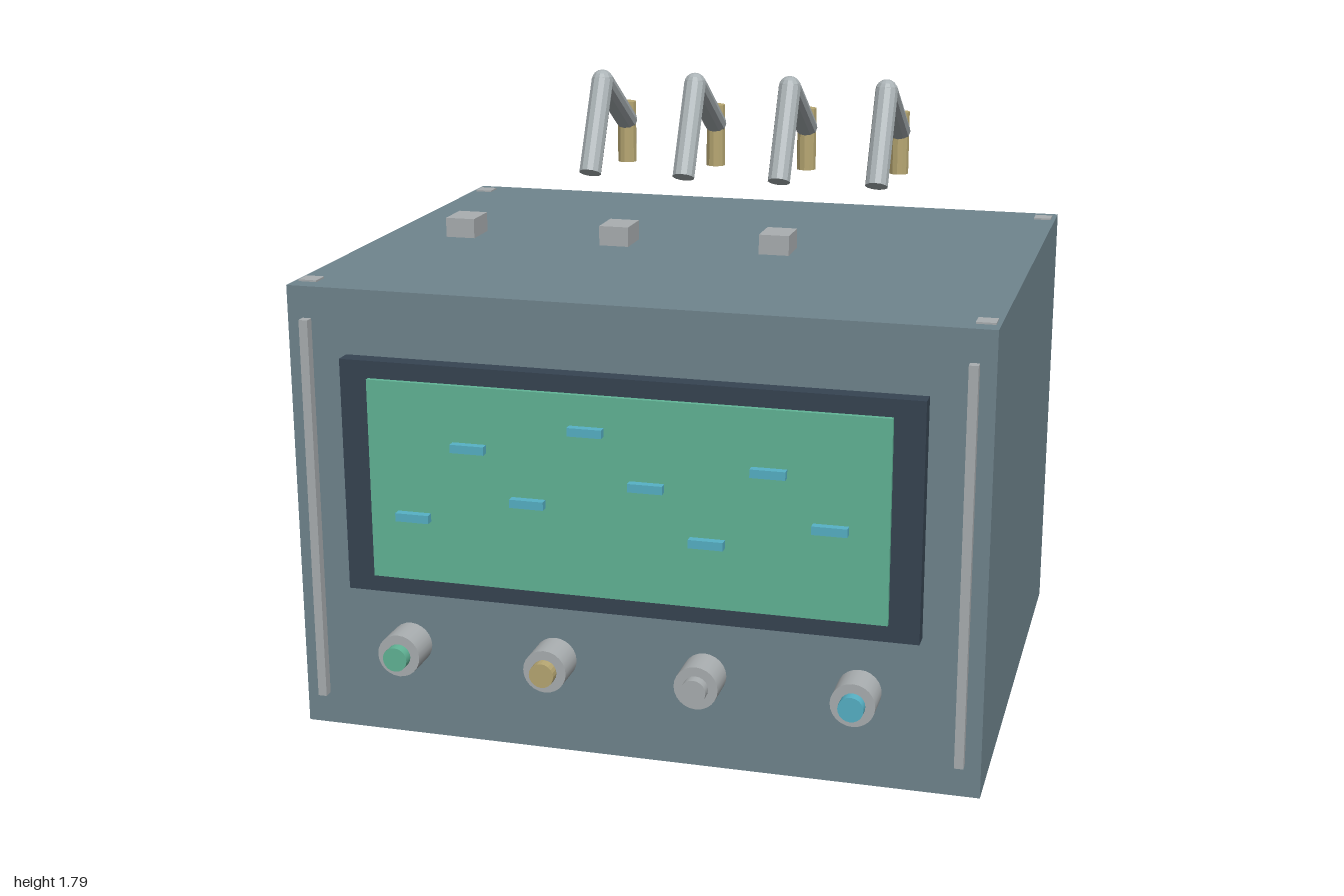
import * as THREE from 'three';

const mat = (name, color, flatShading = false) => {
  const m = new THREE.MeshStandardMaterial({ color, flatShading });
  m.name = name;
  return m;
};

export function createModel() {
  const model = new THREE.Group();
  model.name = 'controlConsole';

  const slate = mat('slateCasing', 0x70858e);
  const navy = mat('navyFrame', 0x364452);
  const green = mat('screenGreen', 0x62b597);
  const cyan = mat('signalCyan', 0x57b2c6);
  const gold = mat('brassGold', 0xb8a873, true);
  const grey = mat('paleGrey', 0xaaafb1);
  const steel = mat('armSteel', 0xaab2b5, true);

  const add = (name, geometry, material, parent = model) => {
    const mesh = new THREE.Mesh(geometry, material);
    mesh.name = name;
    parent.add(mesh);
    return mesh;
  };
  // Box given by its limits on each axis
  const box = (name, material, [x0, x1], [y0, y1], [z0, z1]) =>
    add(name, new THREE.BoxGeometry(x1 - x0, y1 - y0, z1 - z0), material)
      .position.set((x0 + x1) / 2, (y0 + y1) / 2, (z0 + z1) / 2);
  // Cylinder running between two points
  const rod = (name, material, a, b, radius, sides, parent) => {
    const dir = b.clone().sub(a);
    const mesh = add(name, new THREE.CylinderGeometry(radius, radius, dir.length(), sides), material, parent);
    mesh.position.copy(a).add(b).multiplyScalar(0.5);
    mesh.quaternion.setFromUnitVectors(new THREE.Vector3(0, 1, 0), dir.normalize());
  };
  const v = (x, y, z) => new THREE.Vector3(x, y, z);

  // Casing, screen frame and screen
  box('casing', slate, [-1, 1], [0, 1.33], [-0.845, 0.735]);
  box('screenFrame', navy, [-0.827, 0.827], [0.456, 1.14], [0.735, 0.785]);
  box('screen', green, [-0.742, 0.742], [0.508, 1.09], [0.785, 0.8]);

  // Floating signal marks in front of the screen
  [0.705, 0.92, 0.775, 0.995, 0.85, 0.705, 0.92, 0.775].forEach((y, i) => {
    const x = -0.605 + i * 0.17;
    box('signalMark', cyan, [x - 0.049, x + 0.049], [y - 0.012, y + 0.012], [0.814, 0.838]);
  });

  // Side rails and corner pads
  for (const s of [-1, 1]) {
    const x = s * 0.942;
    box('sideRail', grey, [x - 0.013, x + 0.013], [0.095, 1.238], [0.735, 0.763]);
    for (const z of [-0.768, 0.655]) {
      const px = s * 0.96;
      box('cornerPad', grey, [px - 0.027, px + 0.027], [1.33, 1.335], [z - 0.027, z + 0.027]);
    }
  }

  // Knobs with coloured caps
  [green, gold, grey, cyan].forEach((cap, i) => {
    const x = -0.663 + i * 0.44;
    const knob = new THREE.Group();
    knob.name = 'knob';
    model.add(knob);
    rod('knobBase', grey, v(x, 0.282, 0.735), v(x, 0.282, 0.835), 0.063, 24, knob);
    rod('knobCap', cap, v(x, 0.282, 0.8), v(x, 0.282, 0.865), 0.036, 20, knob);
  });

  // Blocks on the lid
  for (const x of [-0.76, -0.262, 0.238]) {
    box('lidBlock', grey, [x - 0.046, x + 0.046], [1.33, 1.39], [-0.115, 0.002]);
  }

  // Bent arms, each carrying an upright tip
  for (let i = 0; i < 4; i++) {
    const x = -0.467 + i * 0.313;
    const arm = new THREE.Group();
    arm.name = 'bentArm';
    model.add(arm);
    const foot = v(x, 1.475, -0.412), elbow = v(x, 1.755, -0.557), wrist = v(x, 1.585, -0.832);
    rod('lowerArm', steel, foot, elbow, 0.036, 12, arm);
    rod('upperArm', steel, elbow, wrist, 0.036, 12, arm);
    add('elbow', new THREE.SphereGeometry(0.036, 12, 8), steel, arm).position.copy(elbow);
    rod('armTip', gold, v(x, 1.445, -0.832), v(x, 1.65, -0.832), 0.032, 12, arm);
  }

  return model;
}
